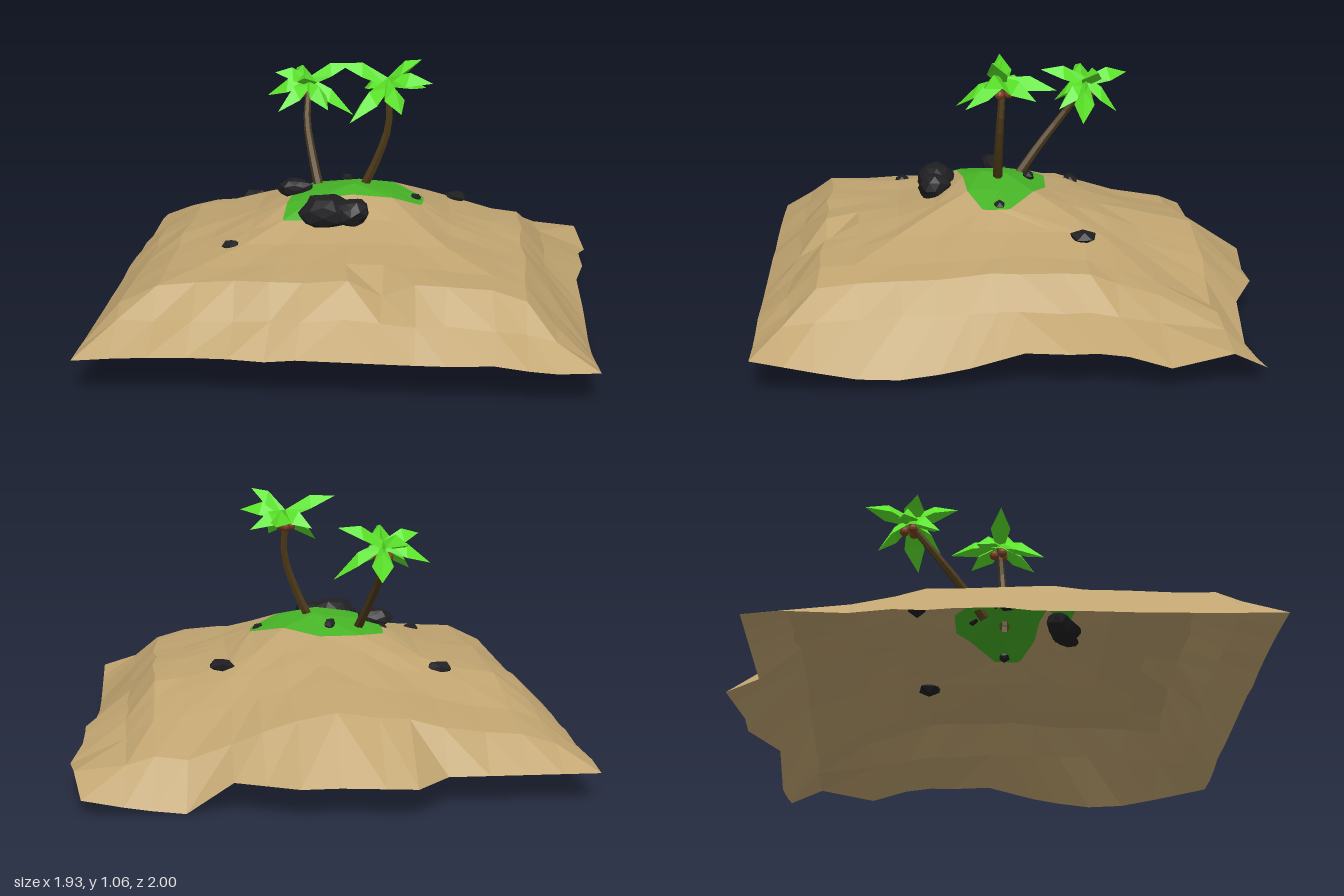
import * as THREE from 'three';

const mat = (color) => new THREE.MeshStandardMaterial({ color, flatShading: true, side: THREE.DoubleSide, roughness: 1 });
const sandMat = mat(0xc0a470), grassMat = mat(0x46b226), rockMat = mat(0x1f1f22);
const trunkMat = mat(0x4b3816), leafMat = mat(0x5ce62a), nutMat = mat(0x7a4020);
const V = (x, y, z) => new THREE.Vector3(x, y, z);
const { smoothstep, lerp } = THREE.MathUtils;

// Repeatable noise in -1..1
const hash = (a, b, c = 0) => {
  const s = Math.sin(a * 127.1 + b * 311.7 + c * 74.7) * 43758.5453;
  return (s - Math.floor(s)) * 2 - 1;
};

// Piecewise-linear profile lookup
function interp(pts, t) {
  for (let i = 1; i < pts.length; i++) {
    const [a, ya] = pts[i - 1], [b, yb] = pts[i];
    if (t <= b) return ya + (yb - ya) * Math.max(0, (t - a) / (b - a));
  }
  return pts[pts.length - 1][1];
}

function addMesh(parent, name, geometry, material) {
  const mesh = new THREE.Mesh(geometry, material);
  mesh.name = name;
  parent.add(mesh);
  return mesh;
}

function facets(points) {
  const g = new THREE.BufferGeometry().setFromPoints(points);
  g.computeVertexNormals();
  return g;
}

// Terrain: slopes across and along the island, plus its ragged rims
const xs = [-0.97, -0.83, -0.7, -0.56, -0.41, -0.28, -0.17, -0.01, 0.13, 0.25, 0.36, 0.53, 0.65, 0.75, 0.9];
const zs = [-0.86, -0.73, -0.5, -0.35, -0.24, -0.14, 0.02, 0.12, 0.22, 0.33, 0.47, 0.62, 0.77, 0.88, 1];
const acrossX = [[-0.97, 0.14], [-0.85, 0.27], [-0.7, 0.36], [-0.45, 0.42], [-0.3, 0.49], [0, 0.57], [0.2, 0.5],
  [0.3, 0.45], [0.45, 0.39], [0.65, 0.35], [0.75, 0.24], [0.9, 0.12]];
const alongZ = [[-0.86, 0.22], [-0.73, 0.32], [-0.5, 0.38], [-0.35, 0.425], [-0.2, 0.46], [-0.1, 0.5], [0.07, 0.565],
  [0.2, 0.54], [0.33, 0.47], [0.47, 0.42], [0.62, 0.39], [0.77, 0.37], [0.88, 0.26], [1, 0.155]];
const backZ = [[-0.97, -0.86], [-0.41, -0.86], [-0.28, -1], [0, -0.96], [0.13, -0.965], [0.36, -0.86], [0.9, -0.86]];
const backY = [[-0.97, 0.11], [0.36, 0.11], [0.53, 0], [0.7, 0.02], [0.9, 0.06]];
const rightX = [[-0.86, 0.9], [-0.74, 0.93], [-0.5, 0.96], [-0.3, 0.91], [-0.17, 0.93], [0, 0.885], [0.25, 0.9], [1, 0.9]];
const rightY = [[-0.86, 0.06], [-0.73, 0.13], [-0.48, 0.09], [-0.3, 0.14], [0, 0.14], [0.25, 0.08], [0.45, 0.05], [0.64, 0.06], [1, 0.14]];
const hollowX = [[0.13, 0], [0.53, 0.07], [0.75, 0.02]];
const notchX = [[-0.01, 0], [0.13, 0.05], [0.25, 0]];

// Square-shouldered at the front left, rounded off towards the other corners
function terrainHeight(x, z) {
  const fx = interp(acrossX, x), fz = interp(alongZ, z);
  const square = Math.min(fx, fz);
  const round = Math.min(square, 0.1 + (fx - 0.1) * (fz - 0.1) / 0.46);
  const frontRight = 0.4 * smoothstep(x, 0.4, 0.65) * smoothstep(z, 0.4, 0.75);
  const roundness = Math.max(0.15, smoothstep(-z, 0.1, 0.55), frontRight);
  const hollow = interp(hollowX, x) * smoothstep(-z, 0.45, 0.73);
  const notch = interp(notchX, x) * Math.max(0, 1 - Math.abs(z - 0.77) / 0.1);
  return lerp(square, round, roundness) - hollow - notch;
}

function terrainPoint(i, j) {
  const x = xs[i], lastX = xs.length - 1, lastZ = zs.length - 1;
  let z = zs[j];
  if (j === 0) return V(x, interp(backY, x), interp(backZ, x));
  if (i === lastX) return V(interp(rightX, z), interp(rightY, z), z);
  if (i === 0 || j === lastZ) return V(x, terrainHeight(x, z) + 0.008 * hash(i, j), z);
  // Narrow the summit patch towards its ends
  if (Math.abs(x) < 0.3 && Math.abs(z - 0.04) < 0.2) z = lerp(z, 0.12, 0.7 * ((x + 0.08) / 0.33) ** 2);
  return V(x + 0.01 * hash(i, j, 1), terrainHeight(x, z) + 0.006 * hash(i, j, 2), z + 0.014 * hash(i, j, 3));
}

function buildTerrain(parent) {
  const sand = [], grass = [];
  for (let i = 0; i < xs.length - 1; i++) {
    for (let j = 0; j < zs.length - 1; j++) {
      const a = terrainPoint(i, j), b = terrainPoint(i, j + 1), c = terrainPoint(i + 1, j + 1), d = terrainPoint(i + 1, j);
      const cx = (xs[i] + xs[i + 1]) / 2, cz = (zs[j] + zs[j + 1]) / 2;
      const green = cx > -0.28 && cx < 0.25 && cz > -0.14 && cz < (cx < -0.17 ? 0.33 : 0.22);
      // Diagonals run outward from the summit
      const corners = cx * cz > 0 ? [a, b, c, a, c, d] : [a, b, d, b, c, d];
      (green ? grass : sand).push(...corners);
    }
  }
  addMesh(parent, 'sandIsland', facets(sand), sandMat);
  addMesh(parent, 'grassPatch', facets(grass), grassMat);
}

// Faceted boulder with its corners pushed in and out
function buildRock(parent, x, y, z, sx, sy, sz) {
  const g = new THREE.IcosahedronGeometry(1, sx > 0.06 ? 1 : 0);
  const p = g.attributes.position;
  for (let i = 0; i < p.count; i++) {
    const v = new THREE.Vector3().fromBufferAttribute(p, i);
    const key = [v.x, v.y, v.z].map((n) => Math.round(n * 50));
    v.multiplyScalar(1 + 0.14 * hash(key[0] + x * 10, key[1], key[2]));
    p.setXYZ(i, v.x * sx, v.y * sy, v.z * sz);
  }
  g.computeVertexNormals();
  addMesh(parent, 'rock', g, rockMat).position.set(x, y, z);
}

// Trunk swept along a curve, narrowing towards the crown
function trunkGeometry(points) {
  const curve = new THREE.CatmullRomCurve3(points), rings = 7, sides = 6;
  const g = new THREE.TubeGeometry(curve, rings, 0.02, sides);
  const p = g.attributes.position;
  for (let i = 0; i < p.count; i++) {
    const t = Math.floor(i / (sides + 1)) / rings;
    const c = curve.getPointAt(t);
    const v = new THREE.Vector3().fromBufferAttribute(p, i).sub(c).multiplyScalar(1 - 0.35 * t).add(c);
    p.setXYZ(i, v.x, v.y, v.z);
  }
  return g;
}

// Leaf: deeply folded sections from the crown to a pointed tip
function leafGeometry(root, tip) {
  const dir = tip.clone().sub(root);
  const side = V(-dir.z, 0, dir.x).normalize();
  const section = (t, width, fold, lift) => {
    const c = root.clone().addScaledVector(dir, t).add(V(0, lift, 0));
    return [
      c.clone().addScaledVector(side, width).add(V(0, -fold, 0)),
      c.clone().add(V(0, 0.016, 0)),
      c.clone().addScaledVector(side, -width).add(V(0, -fold, 0)),
      c.clone().add(V(0, -0.01, 0)),
    ];
  };
  const rings = [section(0, 0.014, 0.02, 0), section(0.5, 0.042, 0.035, 0.024), section(1, 0, 0, 0).map(() => tip)];
  const pts = [];
  for (let r = 0; r < 2; r++) {
    for (let k = 0; k < 4; k++) {
      const n = (k + 1) % 4, [p, q] = [rings[r], rings[r + 1]];
      pts.push(p[k], q[k], p[n]);
      if (r === 0) pts.push(p[n], q[k], q[n]);
    }
  }
  return facets(pts);
}

function buildPalm(parent, trunk, tips) {
  const palm = new THREE.Group();
  palm.name = 'palmTree';
  addMesh(palm, 'trunk', trunkGeometry(trunk.map((p) => V(...p))), trunkMat);
  const crown = V(...trunk[trunk.length - 1]);
  const root = crown.clone().add(V(0, 0.02, 0));
  tips.forEach((tip) => addMesh(palm, 'leaf', leafGeometry(root, V(...tip)), leafMat));
  for (let k = 0; k < 3; k++) {
    const a = k * 2.1 + 0.6;
    addMesh(palm, 'coconut', new THREE.IcosahedronGeometry(0.02, 1), nutMat)
      .position.set(crown.x + 0.024 * Math.cos(a), crown.y - 0.03, crown.z + 0.024 * Math.sin(a));
  }
  parent.add(palm);
}

export function createModel() {
  const island = new THREE.Group();
  island.name = 'island';
  buildTerrain(island);

  // Boulders and scattered stones: centre, then half sizes
  [
    [-0.12, 0.49, 0.31, 0.105, 0.08, 0.085], [-0.015, 0.495, 0.32, 0.065, 0.06, 0.065],
    [-0.26, 0.52, 0.07, 0.075, 0.04, 0.05], [-0.285, 0.49, 0.02, 0.02, 0.02, 0.02],
    [-0.47, 0.38, -0.28, 0.055, 0.03, 0.04], [0.38, 0.4, -0.245, 0.055, 0.028, 0.055],
    [-0.47, 0.4, 0.455, 0.036, 0.02, 0.036], [-0.06, 0.525, -0.065, 0.025, 0.022, 0.025],
    [0.225, 0.487, 0.07, 0.025, 0.02, 0.025],
  ].forEach((r) => buildRock(island, ...r));

  // Palm leaning back
  buildPalm(island, [[-0.17, 0.48, -0.02], [-0.21, 0.61, -0.12], [-0.24, 0.73, -0.22], [-0.24, 0.86, -0.32]], [
    [-0.31, 0.9, -0.5], [-0.22, 0.75, -0.45], [-0.06, 0.95, -0.35], [-0.05, 0.74, -0.29], [-0.15, 0.78, -0.2],
    [-0.24, 0.93, -0.13], [-0.36, 0.77, -0.2], [-0.42, 0.81, -0.34], [-0.38, 0.92, -0.29],
  ]);
  // Taller upright palm
  buildPalm(island, [[0.01, 0.52, 0.065], [0.07, 0.65, 0.065], [0.115, 0.79, 0.06], [0.11, 0.94, 0.05]], [
    [0.16, 0.93, -0.16], [0.26, 0.91, -0.07], [0.245, 1.06, 0.1], [0.29, 0.97, 0.13], [0.17, 0.86, 0.2],
    [-0.03, 0.83, 0.23], [-0.09, 1.03, 0.05], [0.01, 0.91, -0.05],
  ]);
  return island;
}
